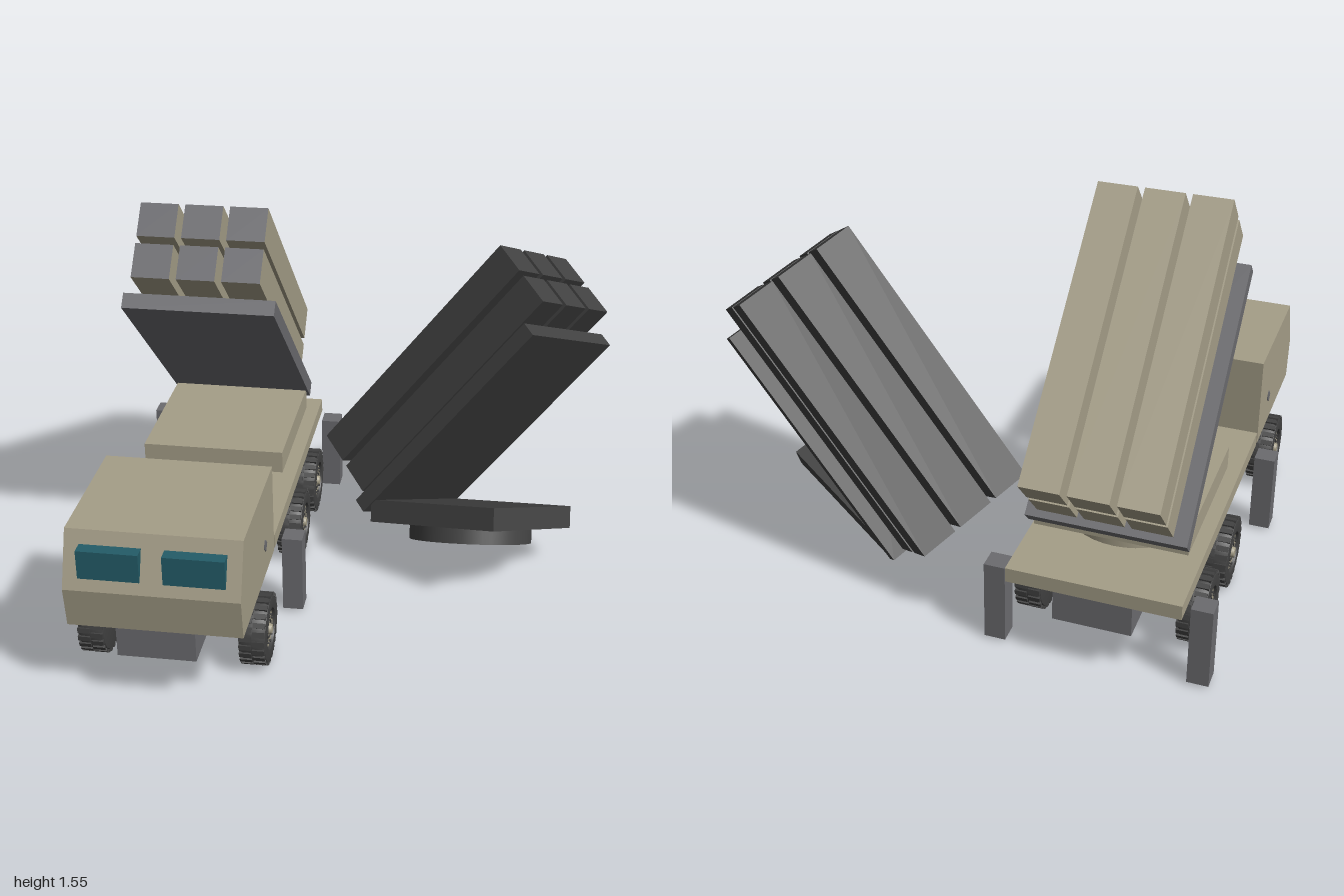
import * as THREE from 'three';
import { mergeGeometries, toCreasedNormals } from 'three/addons/utils/BufferGeometryUtils.js';

const mat = (name, color) => {
  const m = new THREE.MeshStandardMaterial({ color });
  m.name = name;
  return m;
};
const tan = mat('sand paint', 0xa59e88);
const grey = mat('steel grey', 0x6b6b6f);
const dark = mat('charcoal', 0x414141);
const glass = mat('teal glass', 0x245c68);

const TRUCK_X = -0.583;

function add(parent, name, geometry, material, x = 0, y = 0, z = 0) {
  const mesh = new THREE.Mesh(geometry, material);
  mesh.name = name;
  mesh.position.set(x, y, z);
  parent.add(mesh);
  return mesh;
}

// Box given by its size and centre
function box(parent, name, material, w, h, d, x, y, z) {
  return add(parent, name, new THREE.BoxGeometry(w, h, d), material, x, y, z);
}

// Turntable, platform, tilted backing plate and six canisters
function makeLauncher(name, body, plate, cap) {
  const g = new THREE.Group();
  g.name = name;
  add(g, 'turntable', new THREE.CylinderGeometry(0.25, 0.25, 0.065, 40), body, 0, -0.031, 0);
  box(g, 'platform', body, 0.57, 0.09, 0.6, 0, 0.045, 0);

  const arm = new THREE.Group();
  arm.name = 'launchArm';
  arm.position.set(0, 1.112, 0.261);
  arm.rotation.x = -0.738;
  g.add(arm);
  box(arm, 'backingPlate', plate, 0.59, 0.061, 1.065, 0, -0.3635, -0.6285);
  const sides = [body, body, body, body, cap, body];
  for (const col of [-1, 0, 1]) {
    for (const row of [0, 1]) {
      box(arm, 'canister', sides, 0.147, 0.137, 1.14, col * 0.173, -0.0685 - row * 0.166, -0.57);
    }
  }
  return g;
}

// Tyre and tread geometry, axis along y, outer face towards +y
function makeTyreGeometry() {
  const profile = [
    [0, -0.053], [0.1, -0.053], [0.124, -0.049], [0.132, -0.036], [0.132, 0.036],
    [0.124, 0.049], [0.1, 0.053], [0.08, 0.05], [0.075, 0.03], [0, 0.03],
  ].map(([r, y]) => new THREE.Vector2(r, y));
  return toCreasedNormals(new THREE.LatheGeometry(profile, 36), 0.6);
}

function makeTreadGeometry() {
  const lugs = [];
  const count = 24;
  for (let i = 0; i < count * 2; i++) {
    const side = i % 2 ? 1 : -1;
    const lug = new THREE.BoxGeometry(0.012, 0.046, 0.02);
    lug.translate(0.132, side * 0.025, 0);
    lug.rotateY((i / (count * 2)) * Math.PI * 2);
    lugs.push(lug);
  }
  return mergeGeometries(lugs);
}

function makeBoltGeometry() {
  const bolts = [];
  for (let i = 0; i < 10; i++) {
    const bolt = new THREE.CylinderGeometry(0.005, 0.005, 0.008, 6);
    bolt.translate(0.054, 0.044, 0);
    bolt.rotateY((i / 10) * Math.PI * 2);
    bolts.push(bolt);
  }
  return mergeGeometries(bolts);
}

function addWheels(parent) {
  const tyre = makeTyreGeometry();
  const tread = makeTreadGeometry();
  const bolts = makeBoltGeometry();
  const rim = new THREE.CylinderGeometry(0.07, 0.076, 0.014, 32);
  const ring = new THREE.TorusGeometry(0.034, 0.004, 8, 24).rotateX(Math.PI / 2);
  const hub = new THREE.CylinderGeometry(0.018, 0.022, 0.016, 20);
  for (const side of [-1, 1]) {
    for (const z of [0.605, -0.185, -0.543]) {
      const wheel = new THREE.Group();
      wheel.name = 'wheel';
      wheel.position.set(TRUCK_X + side * 0.306, 0.143, z);
      wheel.rotation.z = -side * Math.PI / 2;
      add(wheel, 'tyre', tyre, dark);
      add(wheel, 'tread', tread, dark);
      add(wheel, 'rim', rim, tan, 0, 0.034, 0);
      add(wheel, 'rimRing', ring, dark, 0, 0.041, 0);
      add(wheel, 'wheelBolts', bolts, dark);
      add(wheel, 'hubCap', hub, tan, 0, 0.046, 0);
      parent.add(wheel);
    }
  }
}

function makeTruck() {
  const truck = new THREE.Group();
  truck.name = 'truck';
  box(truck, 'chassis', grey, 0.29, 0.12, 1.792, TRUCK_X, 0.26, 0.028);
  box(truck, 'flatbed', tan, 0.642, 0.057, 1.187, TRUCK_X, 0.3485, -0.278);

  // Cab: side profile swept across the width
  const side = new THREE.Shape([
    [0.332, 0.32], [0.928, 0.32], [0.949, 0.48], [0.868, 0.686], [0.332, 0.686],
  ].map(([z, y]) => new THREE.Vector2(z, y)));
  const cabGeometry = new THREE.ExtrudeGeometry(side, { depth: 0.642, bevelEnabled: false });
  add(truck, 'cab', cabGeometry, tan, -0.262, 0, 0).rotation.y = -Math.PI / 2;

  for (const s of [-1, 1]) {
    box(truck, 'windscreen', glass, 0.224, 0.112, 0.06, TRUCK_X + s * 0.154, 0.58, 0.907);

    // Diamond door latch
    const latch = new THREE.CylinderGeometry(0.025, 0.025, 0.006, 4);
    add(truck, 'doorLatch', latch, grey, TRUCK_X + s * 0.322, 0.445, 0.506).rotation.z = Math.PI / 2;
    for (const z of [0.235, -0.782]) {
      box(truck, 'supportLeg', grey, 0.08, 0.32, 0.08, TRUCK_X + s * 0.38, 0.175, z);
    }
  }
  addWheels(truck);
  return truck;
}

export function createModel() {
  const model = new THREE.Group();
  model.name = 'launcherTruck';
  model.add(makeTruck());

  const mounted = makeLauncher('mountedLauncher', tan, grey, grey);
  mounted.position.set(TRUCK_X, 0.44, -0.365);
  model.add(mounted);

  // Spare launcher tipped over beside the truck
  const spare = makeLauncher('looseLauncher', dark, dark, dark);
  const across = new THREE.Vector3(0.526, -0.381, -0.76).normalize();
  const up = new THREE.Vector3(0.835, 0.275, 0.475).cross(across).normalize();
  const forward = new THREE.Vector3().crossVectors(across, up);
  spare.quaternion.setFromRotationMatrix(new THREE.Matrix4().makeBasis(across, up, forward));
  spare.position.set(0.468, 0.206, -0.149);
  model.add(spare);
  return model;
}
